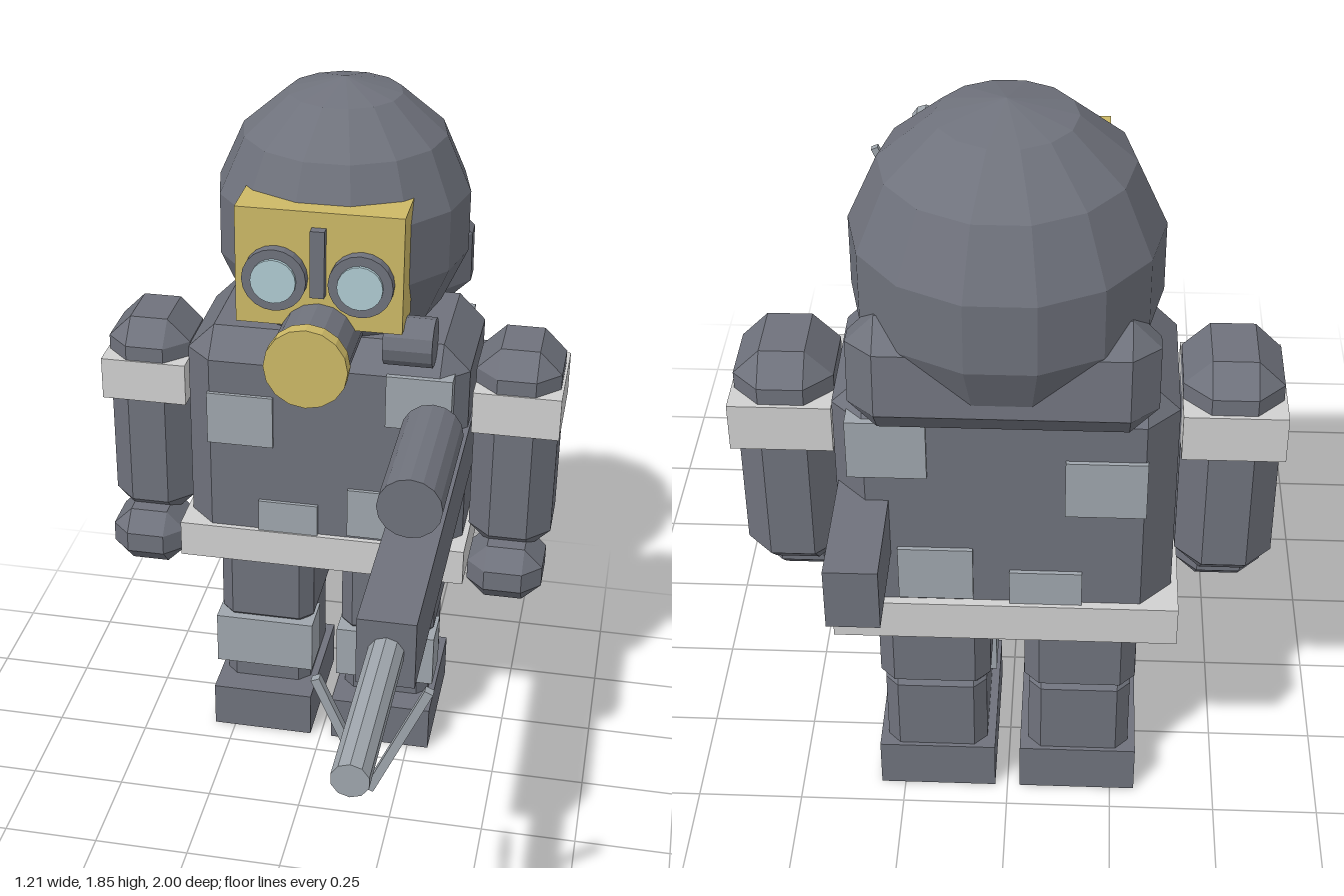
import * as THREE from 'three';
import { ConvexGeometry } from 'three/addons/geometries/ConvexGeometry.js';

function material(name, color) {
  const m = new THREE.MeshStandardMaterial({ color });
  m.name = name;
  m.flatShading = true;
  return m;
}

export function createModel() {
  const model = new THREE.Group();
  model.name = 'maskedSoldier';
  const slate = material('slate grey', 0x6f727c);
  const pale = material('pale grey', 0xd0d0d0);
  const steel = material('steel grey', 0x9fa6ad);
  const gold = material('dull gold', 0xcdb966);
  const glass = material('pale blue glass', 0xb0cbd3);

  const add = (name, geometry, mat) => {
    const mesh = new THREE.Mesh(geometry, mat);
    mesh.name = name;
    model.add(mesh);
    return mesh;
  };

  // Box between two limits on each axis
  const box = (name, mat, [x0, x1], [y0, y1], [z0, z1]) => {
    const mesh = add(name, new THREE.BoxGeometry(x1 - x0, y1 - y0, z1 - z0), mat);
    mesh.position.set((x0 + x1) / 2, (y0 + y1) / 2, (z0 + z1) / 2);
    return mesh;
  };

  // Box with every edge cut by c
  const bevelBox = (name, mat, [x0, x1], [y0, y1], [z0, z1], c) => {
    const a = (x1 - x0) / 2, b = (y1 - y0) / 2, d = (z1 - z0) / 2;
    const points = [];
    for (const i of [-1, 1]) for (const j of [-1, 1]) for (const k of [-1, 1]) {
      points.push(
        new THREE.Vector3(i * a, j * (b - c), k * (d - c)),
        new THREE.Vector3(i * (a - c), j * b, k * (d - c)),
        new THREE.Vector3(i * (a - c), j * (b - c), k * d));
    }
    const mesh = add(name, new ConvexGeometry(points), mat);
    mesh.position.set((x0 + x1) / 2, (y0 + y1) / 2, (z0 + z1) / 2);
    return mesh;
  };

  // Cylinder lying along z
  const tubeZ = (name, mat, x, y, [z0, z1], r, sides) => {
    const g = new THREE.CylinderGeometry(r, r, z1 - z0, sides).rotateX(Math.PI / 2);
    const mesh = add(name, g, mat);
    mesh.position.set(x, y, (z0 + z1) / 2);
    return mesh;
  };

  // Torso, belt and pouches showing on chest and back
  bevelBox('torso', slate, [-0.37, 0.37], [0.565, 1.24], [-0.765, -0.31], 0.07);
  box('belt', pale, [-0.385, 0.385], [0.58, 0.68], [-0.785, -0.295]);
  const pouches = [
    [[-0.305, -0.13], [0.935, 1.08]],
    [[0.165, 0.335], [1.03, 1.175]],
    [[0.07, 0.235], [0.69, 0.83]],
    [[-0.17, -0.01], [0.62, 0.77]],
  ];
  for (const [x, y] of pouches) box('pouch', steel, x, y, [-0.775, -0.3]);

  // Limbs, mirrored
  for (const s of [-1, 1]) {
    const span = (a, b) => (s > 0 ? [a, b] : [-b, -a]);
    bevelBox('arm', slate, span(0.38, 0.6), [0.63, 1.215], [-0.64, -0.375], 0.06);
    box('armBand', pale, span(0.38, 0.607), [1.0, 1.115], [-0.65, -0.37]);
    bevelBox('hand', slate, span(0.39, 0.59), [0.515, 0.67], [-0.52, -0.305], 0.05);
    bevelBox('thigh', slate, span(0.04, 0.3), [0.315, 0.62], [-0.69, -0.38], 0.035);
    bevelBox('shin', slate, span(0.05, 0.29), [0.09, 0.35], [-0.68, -0.395], 0.03);
    box('kneePad', steel, span(0.035, 0.308), [0.19, 0.34], [-0.485, -0.365]);
    box('boot', slate, span(0.03, 0.308), [0, 0.128], [-0.69, -0.32]);
  }

  // Helmet and neck guard
  const helmet = add('helmet', new THREE.SphereGeometry(1, 14, 7), slate);
  helmet.scale.set(0.335, 0.36, 0.335);
  helmet.position.set(0, 1.49, -0.595);
  const guard = bevelBox('neckGuard', slate, [-0.32, 0.32], [1.195, 1.455], [-0.86, -0.69], 0.06);
  guard.rotation.x = 0.1;

  // Gas mask
  box('maskPlate', gold, [-0.21, 0.21], [1.32, 1.625], [-0.385, -0.25]);
  box('noseBar', slate, [-0.018, 0.018], [1.41, 1.585], [-0.26, -0.225]);
  for (const s of [-1, 1]) {
    tubeZ('eyeRim', slate, s * 0.108, 1.45, [-0.26, -0.222], 0.081, 20);
    tubeZ('eyeLens', glass, s * 0.108, 1.45, [-0.25, -0.213], 0.057, 20);
  }
  tubeZ('filterCan', slate, 0, 1.287, [-0.4, -0.115], 0.098, 16);
  tubeZ('filterCap', gold, 0, 1.287, [-0.118, -0.08], 0.105, 16);
  const side = add('sideFilter', new THREE.CylinderGeometry(0.064, 0.064, 0.125, 12).rotateZ(Math.PI / 2), slate);
  side.position.set(0.222, 1.272, -0.32);

  // Long gun
  box('gunBody', slate, [0.24, 0.375], [0.84, 1.01], [-0.5, 0.545]);
  box('gunStock', slate, [0.25, 0.365], [0.81, 0.96], [-1, -0.45]);
  tubeZ('barrel', steel, 0.308, 0.927, [0.5, 1], 0.042, 10);
  tubeZ('scopeFront', slate, 0.308, 1.118, [-0.135, 0.237], 0.078, 16);
  tubeZ('scopeRear', slate, 0.305, 1.072, [-0.255, 0.18], 0.056, 10);

  // Bipod legs meeting in a V
  for (const s of [-1, 1]) {
    const leg = add('bipodLeg', new THREE.BoxGeometry(0.02, 0.305, 0.02), steel);
    leg.position.set(0.308 + s * 0.061, 0.838, 0.733);
    leg.rotation.z = -s * 0.415;
  }

  return model;
}
